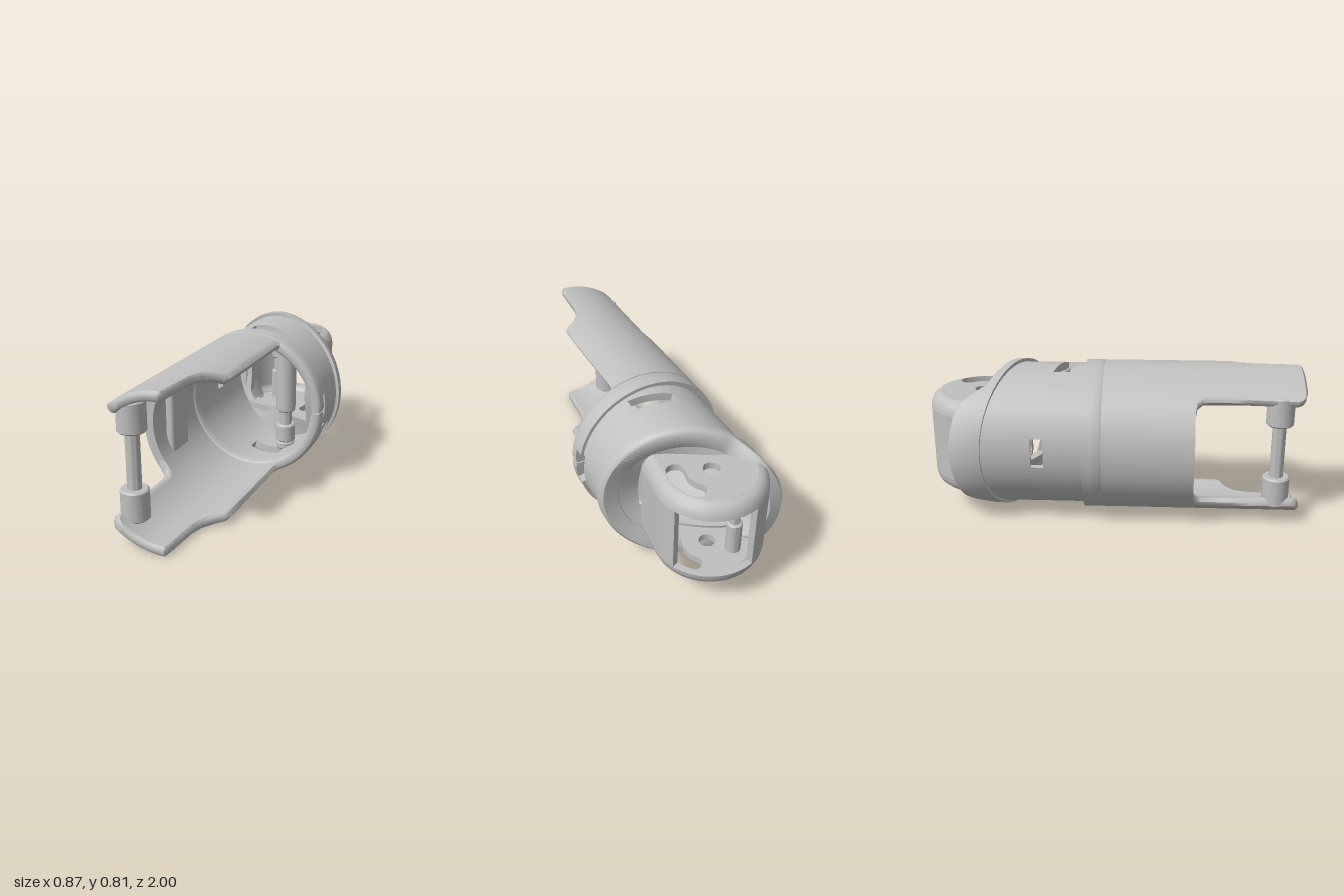
import * as THREE from 'three';
import { toCreasedNormals } from 'three/addons/utils/BufferGeometryUtils.js';
import { RoundedBoxGeometry } from 'three/addons/geometries/RoundedBoxGeometry.js';

const grey = new THREE.MeshStandardMaterial({ color: 0xc0c0c0 });
grey.name = 'plain grey';
const DEG = Math.PI / 180;

function add(parent, name, geometry) {
  const mesh = new THREE.Mesh(geometry, grey);
  mesh.name = name;
  parent.add(mesh);
  return mesh;
}

// Skin closed loops of points, cap both ends, and turn the faces outward
function loft(loops) {
  const tris = [];
  const quad = (a, b, c, d) => tris.push([a, b, c], [a, c, d]);
  const L = loops[0].length;
  for (let i = 0; i + 1 < loops.length; i++) {
    for (let k = 0; k < L; k++) {
      const m = (k + 1) % L;
      quad(loops[i][k], loops[i + 1][k], loops[i + 1][m], loops[i][m]);
    }
  }
  const first = loops[0], last = loops[loops.length - 1];
  for (let k = 0; k < L / 2 - 1; k++) {
    quad(first[k], first[k + 1], first[L - 2 - k], first[L - 1 - k]);
    quad(last[k], last[L - 1 - k], last[L - 2 - k], last[k + 1]);
  }
  let volume = 0;
  for (const [a, b, c] of tris) volume += a.dot(b.clone().cross(c));
  const flat = [];
  for (const [a, b, c] of tris) {
    for (const p of volume < 0 ? [a, c, b] : [a, b, c]) flat.push(p.x, p.y, p.z);
  }
  const g = new THREE.BufferGeometry();
  g.setAttribute('position', new THREE.Float32BufferAttribute(flat, 3));
  return toCreasedNormals(g, 48 * DEG);
}

// Curved plate round the z axis; each row gives its z, angle range and edge inset s
const value = (f, angle) => (typeof f === 'function' ? f(angle) : f);
function shell(R, r, rows, n, soft = 0) {
  const loops = [];
  for (let i = 0; i <= n; i++) {
    const side = i === 0 || i === n ? soft : 0;
    const at = (row, radius, sign) => {
      const t = (row.a + (row.b - row.a) * i / n) * DEG;
      const q = value(radius, t) + sign * Math.max(side, row.s || 0);
      return new THREE.Vector3(q * Math.cos(t), q * Math.sin(t), value(row.w, t));
    };
    loops.push([...rows.map(row => at(row, R, -1)), ...rows.map(row => at(row, r, 1)).reverse()]);
  }
  return loft(loops);
}

// Band of a tube with openings: c = centre angle, h = half angle, oval = rounded
function band(parent, name, R, r, w0, w1, gaps) {
  gaps.forEach((gap, k) => {
    const next = gaps[(k + 1) % gaps.length];
    const turn = k + 1 === gaps.length ? 360 : 0;
    const steps = gap.oval ? 12 : 1, rows = [];
    for (let j = 0; j <= steps; j++) {
      const t = j / steps;
      const half = g => (g.oval ? g.h * Math.sqrt(Math.max(0, 1 - (2 * t - 1) ** 2)) : g.h);
      rows.push({
        w: q => value(w0, q) + (value(w1, q) - value(w0, q)) * t,
        a: gap.c + half(gap), b: next.c + turn - half(next),
      });
    }
    add(parent, name, shell(R, r, rows, Math.ceil(96 / gaps.length)));
  });
}

// Stepped vertical pin from [bottom, top, radius] pieces
function pin(parent, name, x, z, pieces) {
  const group = new THREE.Group();
  group.name = name;
  group.position.set(x, 0, z);
  for (const [y0, y1, r] of pieces) {
    const c = Math.min(0.008, r / 4);
    const profile = [[0, y0], [r - c, y0], [r, y0 + c], [r, y1 - c], [r - c, y1], [0, y1]];
    const g = new THREE.LatheGeometry(profile.map(p => new THREE.Vector2(...p)), 32);
    add(group, name + 'Section', toCreasedNormals(g, 35 * DEG));
  }
  parent.add(group);
}

function buildSleeve() {
  const s = new THREE.Group();
  s.name = 'sleeve';
  s.position.set(0.02, 0.405, -0.17);
  s.rotation.y = 6 * DEG;
  const R = 0.405, r = 0.355;
  const angle = u => Math.acos(u / R) / DEG;

  // Split collar with a rounded front lip
  const slit = { a: 0.5, b: 359.5 };
  add(s, 'collar', shell(R, 0.345, [
    { w: 0.05, ...slit }, { w: 0.094, ...slit }, { w: 0.106, s: 0.006, ...slit }, { w: 0.112, s: 0.018, ...slit },
  ], 120, 0.01));
  band(s, 'collar', R, 0.345, 0, 0.05, [{ c: 0, h: 13 }]);

  // Open trough and its two long prongs
  const edge = angle(0.164);
  add(s, 'trough', shell(R, r, [
    { w: 0.1, a: angle(0.178), b: 360 - angle(0.178) },
    { w: 0.13, a: edge, b: 360 - edge },
    { w: 0.58, a: edge, b: 360 - edge },
  ], 80, 0.013));
  const outline = [
    [0.58, 0.164, -0.34], [0.59, 0.164, -0.305], [0.62, 0.163, -0.285], [0.74, 0.16, -0.283],
    [0.755, 0.147, -0.283], [0.78, 0.1, -0.283], [0.83, 0.055, -0.283], [0.9, 0.035, -0.284],
    [1.1, 0.022, -0.288], [1.125, 0.02, -0.28], [1.14, 0.015, -0.265], [1.152, 0.005, -0.23],
  ];
  for (const side of [1, -1]) {
    add(s, side > 0 ? 'upperProng' : 'lowerProng', shell(R, r, outline.map(([w, u0, u1]) => ({
      w, a: side * angle(u0), b: side * angle(u1), s: w > 1.15 ? 0.014 : 0,
    })), 28, 0.013));
  }

  // Raised pad on the inner wall
  add(s, 'innerPad', new RoundedBoxGeometry(0.05, 0.42, 0.18, 3, 0.02)).position.set(-0.32, 0, 0.38);

  // Rear ring with slots and an oblique back edge, a little flatter on one side
  const flatter = t => 0.016 * Math.max(0, -Math.cos(t));
  const Q = t => 0.388 - flatter(t), q = 0.345;
  const end = t => -0.372 + 0.38 * R * Math.cos(t);
  const slotFront = t => -0.06 + 0.1 * THREE.MathUtils.clamp(Math.cos(t), -0.5, 0.4);
  const slotBack = t => slotFront(t) - 0.084;
  const ovalFront = t => Math.min(slotBack(t), -0.125);
  const mix = k => t => -0.2 + (end(t) + 0.2) * k;
  const none = [{ c: 0, h: 0 }];
  band(s, 'ring', Q, q, 0, slotFront, [{ c: 0, h: 13 }]);
  band(s, 'ring', Q, q, slotFront, slotBack, [{ c: 86, h: 17 }, { c: 274, h: 17 }]);
  band(s, 'ring', Q, q, slotBack, ovalFront, none);
  band(s, 'ring', Q, q, ovalFront, -0.2, [{ c: -29, h: 9, oval: true }]);
  band(s, 'ring', Q, q, mix(0), mix(0.2), [{ c: 177, h: 12 }]);
  band(s, 'ring', Q, q, mix(0.2), mix(1), none);

  // Flange with a raised lip on one side
  const back = t => end(t) - 0.055 - 0.105 * THREE.MathUtils.smoothstep(-R * Math.cos(t), 0.19, 0.32);
  const full = { a: 0, b: 360 };
  add(s, 'flange', shell(t => R - flatter(t), 0.3, [
    { w: end, ...full }, { w: t => back(t) + 0.014, ...full }, { w: back, s: 0.012, ...full },
  ], 120));

  // Back wall with a rectangular opening
  const opening = t => Math.min(
    (Math.cos(t) > 0 ? 0.2 : 0.26) / Math.max(Math.abs(Math.cos(t)), 1e-3),
    0.2 / Math.max(Math.abs(Math.sin(t)), 1e-3));
  band(s, 'backWall', 0.37, opening, end, t => end(t) - 0.05, none);
  return s;
}

function buildHead() {
  const h = new THREE.Group();
  h.name = 'head';
  const cx = -0.08, cz = -0.72, R = 0.28;

  // Path stations: angle round the head and forward offset of the straight ends
  const arc = (a0, a1, n) => Array.from({ length: n + 1 }, (_, i) => ({ a: a0 + (a1 - a0) * i / n, z: 0 }));
  const leftEnd = { a: 180, z: 0.07 }, rightEnd = { a: 0, z: 0.19 };
  const sweep = (path, section) => loft(path.map(({ a, z }) => section.map(([d, y]) => new THREE.Vector3(
    cx + (R - d) * Math.cos(a * DEG), y, cz + z - (R - d) * Math.sin(a * DEG)))));

  // Side walls either side of the window
  const wall = [[0, 0.23], [0, 0.59], [0.035, 0.59], [0.035, 0.23]];
  add(h, 'headWall', sweep([leftEnd, ...arc(180, 116, 16)], wall));
  add(h, 'headWall', sweep([...arc(30, 0, 8), rightEnd], wall));

  // Rounded rims, above and below
  const rim = [[0, 0.59], [0.004, 0.615], [0.016, 0.642], [0.036, 0.66], [0.06, 0.667],
    [0.06, 0.63], [0.052, 0.622], [0.044, 0.612], [0.038, 0.602], [0.035, 0.59]];
  const round = [leftEnd, ...arc(180, 0, 44), rightEnd];
  add(h, 'upperRim', sweep(round, rim));
  add(h, 'lowerRim', sweep(round, rim.map(([d, y]) => [d, 0.82 - y])));

  // Plates pierced by a round hole and a curved slot
  const polar = (x, y, r, a0, a1, n) => Array.from({ length: n + 1 }, (_, i) => {
    const a = a0 + (a1 - a0) * i / n;
    return new THREE.Vector2(x + r * Math.cos(a), y + r * Math.sin(a));
  });
  const m = 0.172, k = 0.045, a0 = -15 * DEG, a1 = 43 * DEG;
  const slotEnd = (a, from) => polar(
    cx + m * Math.cos(a), -cz + m * Math.sin(a), k, from, from + Math.PI, 12).slice(1, -1);
  const shape = new THREE.Shape([...polar(cx, -cz, 0.222, 0, Math.PI, 40),
    new THREE.Vector2(cx - 0.222, 0.63), new THREE.Vector2(cx + 0.222, 0.53)]);
  shape.holes.push(
    new THREE.Path(polar(cx, -cz, 0.042, 0, 2 * Math.PI, 28).slice(1)),
    new THREE.Path([...polar(cx, -cz, m + k, a0, a1, 14), ...slotEnd(a1, a1),
      ...polar(cx, -cz, m - k, a1, a0, 14), ...slotEnd(a0, a0 + Math.PI)]));
  for (const [name, y] of [['upperPlate', 0.63], ['lowerPlate', 0.153]]) {
    const g = new THREE.ExtrudeGeometry(shape, { depth: 0.037, bevelEnabled: false });
    g.rotateX(-Math.PI / 2);
    add(h, name, toCreasedNormals(g, 35 * DEG)).position.y = y;
  }
  return h;
}

export function createModel() {
  const model = new THREE.Group();
  model.name = 'slottedSleeve';
  model.add(buildSleeve(), buildHead());
  pin(model, 'frontPin', -0.083, 0.87, [[0.1, 0.26, 0.072], [0.25, 0.56, 0.036], [0.55, 0.71, 0.072]]);
  pin(model, 'middlePin', 0.115, -0.33,
    [[0.07, 0.115, 0.055], [0.115, 0.22, 0.057], [0.21, 0.31, 0.036], [0.3, 0.7, 0.057], [0.69, 0.74, 0.05]]);
  pin(model, 'headPin', -0.18, -0.81, [[0.18, 0.37, 0.04], [0.36, 0.46, 0.026], [0.45, 0.64, 0.04]]);
  return model;
}
